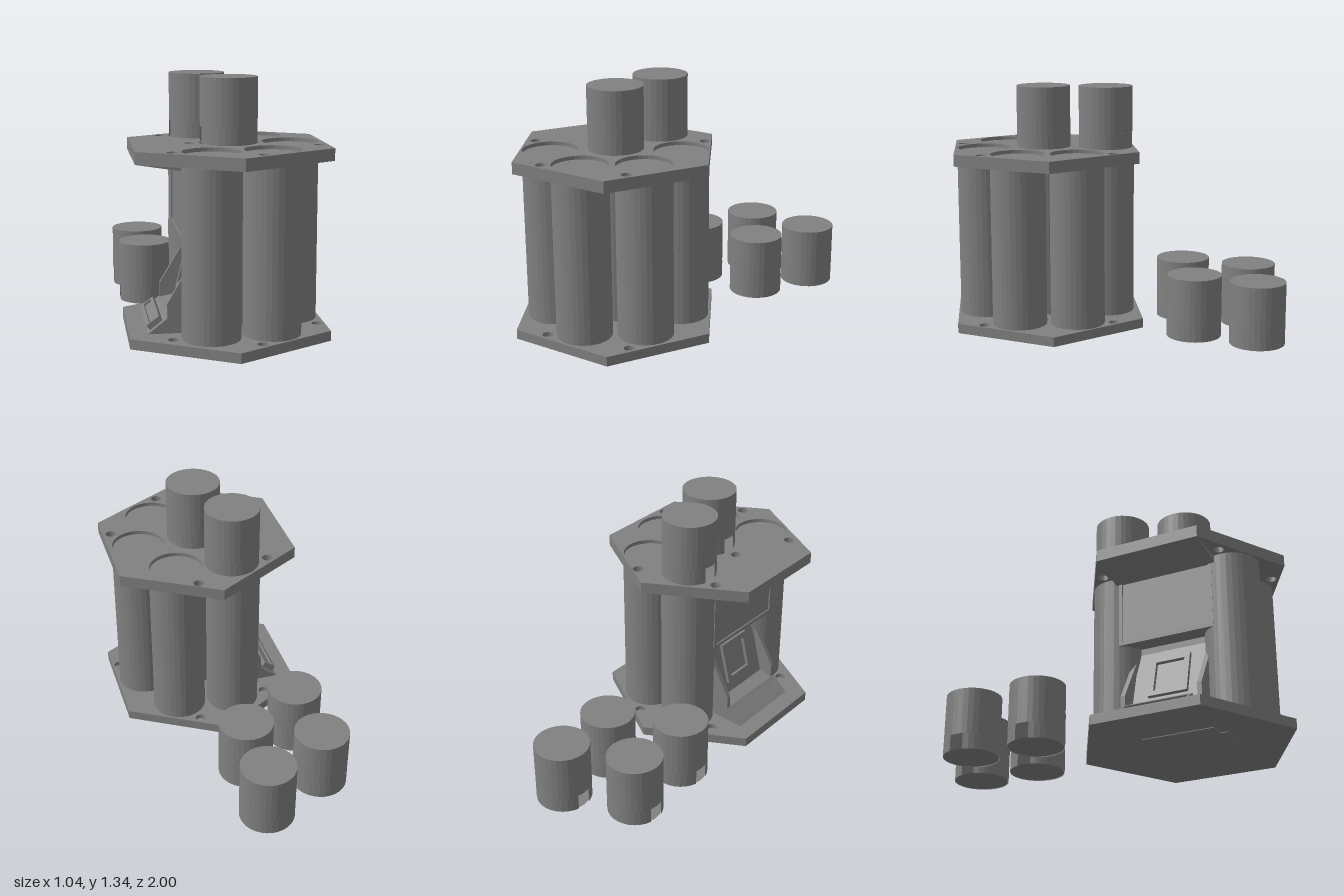
import * as THREE from 'three';

export function createModel() {
  const model = new THREE.Group();
  const grey = new THREE.MeshStandardMaterial({ color: 0x808080, flatShading: true, side: THREE.DoubleSide });
  grey.name = 'plain grey';

  const add = (name, geo, x = 0, y = 0, z = 0, parent = model) => {
    const m = new THREE.Mesh(geo, grey);
    m.name = name;
    m.position.set(x, y, z);
    parent.add(m);
    return m;
  };
  const outline = pts => new THREE.Shape(pts.map(p => new THREE.Vector2(...p)));
  const extrude = (shape, depth) => new THREE.ExtrudeGeometry(shape, { depth, bevelEnabled: false, curveSegments: 16 });
  const circleHole = (shape, x, z, r) => {
    const h = new THREE.Path();
    h.absarc(x, z, r, 0, Math.PI * 2, true);
    shape.holes.push(h);
  };
  // Horizontal slab from a shape in x and z, with its top at the given height
  const slab = (name, shape, top, depth) => add(name, extrude(shape, depth).rotateX(Math.PI / 2), 0, top, 0);

  const tubes = [[-0.105, 0.077], [0.207, 0.115], [0.02, 0.405], [0.35, 0.4], [-0.108, 0.732], [0.207, 0.692]];
  const screws = [[-0.3, 0.065], [0.13, -0.07], [-0.175, 0.405], [-0.3, 0.74], [0.13, 0.872], [0.475, 0.555]];

  // Base: solid lower layer, upper layer with screw holes, hatch underneath
  const basePts = [[0, 1], [-0.515, 0.7], [-0.515, 0.107], [0, -0.19], [0.515, 0.107], [0.515, 0.7]];
  slab('baseFloor', outline(basePts), 0.03, 0.027);
  const baseTop = outline(basePts);
  screws.forEach(([x, z]) => circleHole(baseTop, x, z, 0.029));
  slab('baseTop', baseTop, 0.056, 0.026);
  slab('bottomHatch', outline([[-0.21, 0.25], [0.21, 0.25], [0.21, 0.68], [-0.12, 0.68],
    [-0.12, 0.64], [-0.21, 0.64]]), 0.004, 0.004);

  // Top plate with tube openings and screw holes
  const plate = outline([[0.02, 0.988], [-0.48, 0.697], [-0.48, 0.12], [0.02, -0.172], [0.52, 0.12], [0.52, 0.697]]);
  tubes.forEach(([x, z]) => circleHole(plate, x, z, 0.147));
  screws.forEach(([x, z]) => circleHole(plate, x, z, 0.029));
  slab('topPlate', plate, 1, 0.064);

  // Storage tubes, filled to just under the plate top
  tubes.forEach(([x, z]) => {
    add('tube', new THREE.CylinderGeometry(0.15, 0.15, 0.88, 32), x, 0.496, z);
    add('tubeContents', new THREE.CylinderGeometry(0.146, 0.146, 0.06, 32), x, 0.95, z);
  });

  // Canisters with a small notch at the foot
  const gap = 0.26;
  const canister = (x, y, z) => {
    const g = new THREE.Group();
    g.name = 'canister';
    g.position.set(x, y, z);
    model.add(g);
    add('canisterBody', new THREE.CylinderGeometry(0.15, 0.15, 0.255, 32, 1, true), 0, 0.2145, 0, g);
    add('canisterFoot', new THREE.CylinderGeometry(0.15, 0.15, 0.087, 28, 1, true,
      Math.PI * 1.5 + gap, Math.PI * 2 - 2 * gap), 0, 0.0435, 0, g);
    add('canisterLid', new THREE.CircleGeometry(0.15, 32).rotateX(-Math.PI / 2), 0, 0.342, 0, g);
    add('canisterBottom', new THREE.CircleGeometry(0.146, 32).rotateX(Math.PI / 2), 0, 0.003, 0, g);
  };
  [[-0.375, -0.68], [-0.015, -0.85], [-0.01, -0.49], [-0.36, -0.29]].forEach(([x, z]) => canister(x, 0, z));
  canister(-0.1, 1.001, 0.085);
  canister(0.026, 1.001, 0.41);

  // Rectangular frame facing -x, tilted upward by an angle
  const frame = (name, w, h, bar, depth, tilt, x, y, z) => {
    const rect = (a, b) => [[-a, -b], [a, -b], [a, b], [-a, b]];
    const s = outline(rect(w / 2, h / 2));
    s.holes.push(outline(rect(w / 2 - bar, h / 2 - bar)));
    add(name, extrude(s, depth).rotateY(-Math.PI / 2).rotateZ(-tilt), x, y, z);
  };

  // Upper display panel and canopy wedge
  add('displayPanel', new THREE.BoxGeometry(0.1, 0.4, 0.54), -0.19, 0.735, 0.405);
  frame('displayFrame', 0.54, 0.4, 0.02, 0.008, 0, -0.24, 0.735, 0.405);
  add('canopy', extrude(outline([[-0.48, 0.936], [-0.2, 0.892], [-0.2, 0.936]]), 0.575), 0, 0, 0.121);

  // Dispenser: sloped back and tray between two cheeks
  add('dispenserBack', extrude(outline([[-0.1, 0.055], [-0.42, 0.055], [-0.32, 0.135], [-0.24, 0.15],
    [-0.15, 0.5], [-0.15, 0.54], [-0.1, 0.54]]), 0.4), 0, 0, 0.205);
  for (const z of [0.18, 0.605]) {
    add('dispenserCheek', extrude(outline([[-0.1, 0.055], [-0.42, 0.055], [-0.32, 0.135], [-0.32, 0.21],
      [-0.19, 0.43], [-0.13, 0.535], [-0.1, 0.535]]), 0.025), 0, 0, z);
  }
  frame('outletFrame', 0.22, 0.24, 0.03, 0.02, 0.25, -0.194, 0.33, 0.405);

  // Tilted control console
  const consoleBox = add('console', new THREE.BoxGeometry(0.08, 0.025, 0.38), -0.377, 0.096, 0.405);
  consoleBox.rotation.z = 0.64;
  frame('consoleFrame', 0.38, 0.08, 0.018, 0.012, 0.93, -0.384, 0.106, 0.405);

  return model;
}
